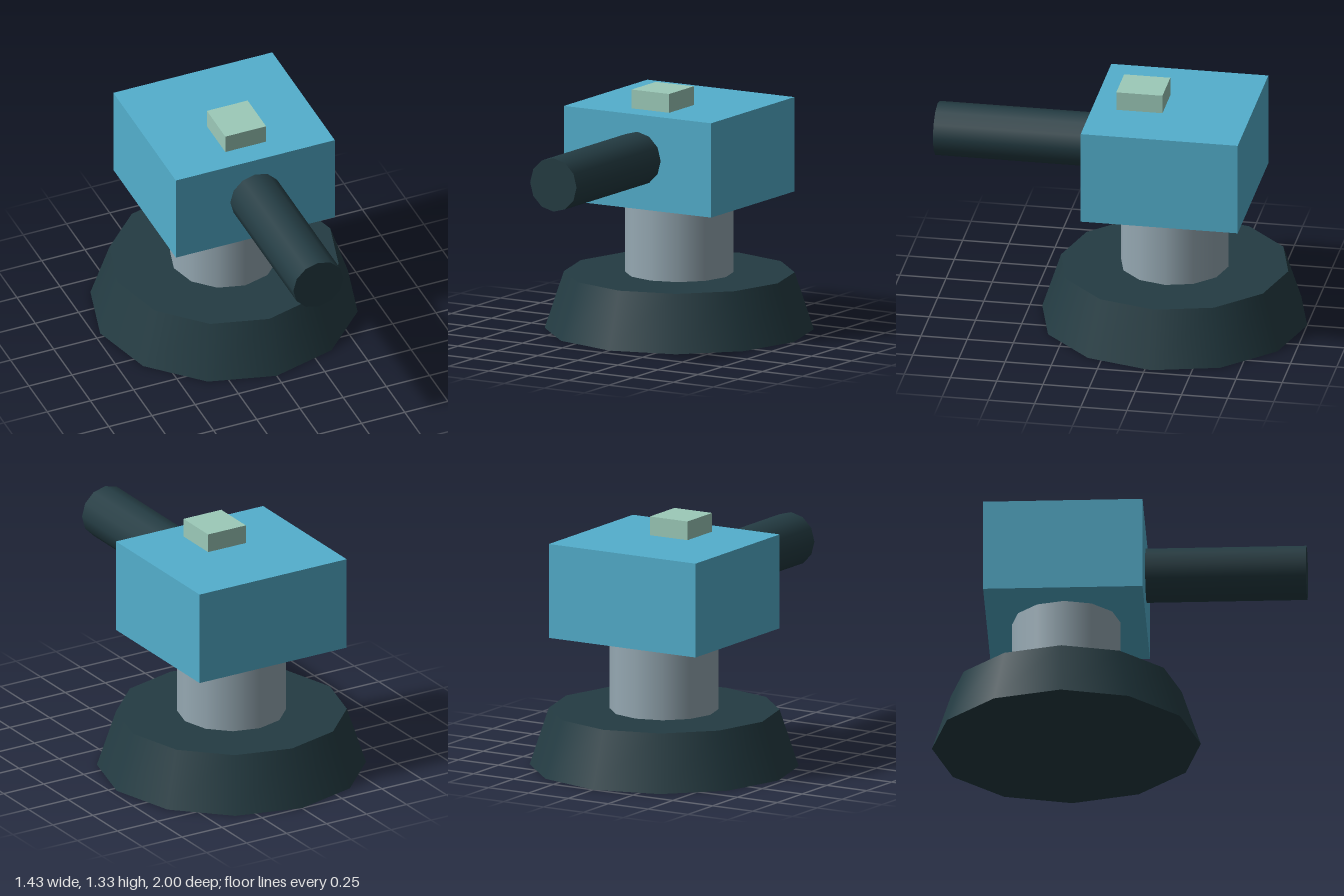
import * as THREE from 'three';

const material = (name, color) => {
  const m = new THREE.MeshStandardMaterial({ color });
  m.name = name;
  return m;
};

export function createModel() {
  const dark = material('dark slate', 0x243c43);
  const steel = material('grey steel', 0x96a9b3);
  const blue = material('sky blue', 0x53afcd);
  const mint = material('pale mint', 0x9ccab9);

  const model = new THREE.Group();
  model.name = 'turret';
  const add = (name, geometry, mat, x, y, z) => {
    const mesh = new THREE.Mesh(geometry, mat);
    mesh.name = name;
    mesh.position.set(x, y, z);
    model.add(mesh);
    return mesh;
  };

  // Tapered twelve-sided foot and the round post on it
  const axisZ = -0.283;
  add('base', new THREE.CylinderGeometry(0.615, 0.717, 0.308, 12), dark, 0, 0.154, axisZ);
  add('post', new THREE.CylinderGeometry(0.29, 0.29, 0.412, 12), steel, 0, 0.514, axisZ);

  // Box head with a small block on top
  add('head', new THREE.BoxGeometry(0.92, 0.512, 0.85), blue, 0, 0.976, -0.282);
  add('sight', new THREE.BoxGeometry(0.236, 0.102, 0.25), mint, 0, 1.283, -0.113);

  // Barrel pointing forward
  const barrel = new THREE.CylinderGeometry(0.145, 0.145, 0.857, 12).rotateX(Math.PI / 2);
  add('barrel', barrel, dark, 0, 0.994, 0.5715);

  return model;
}
